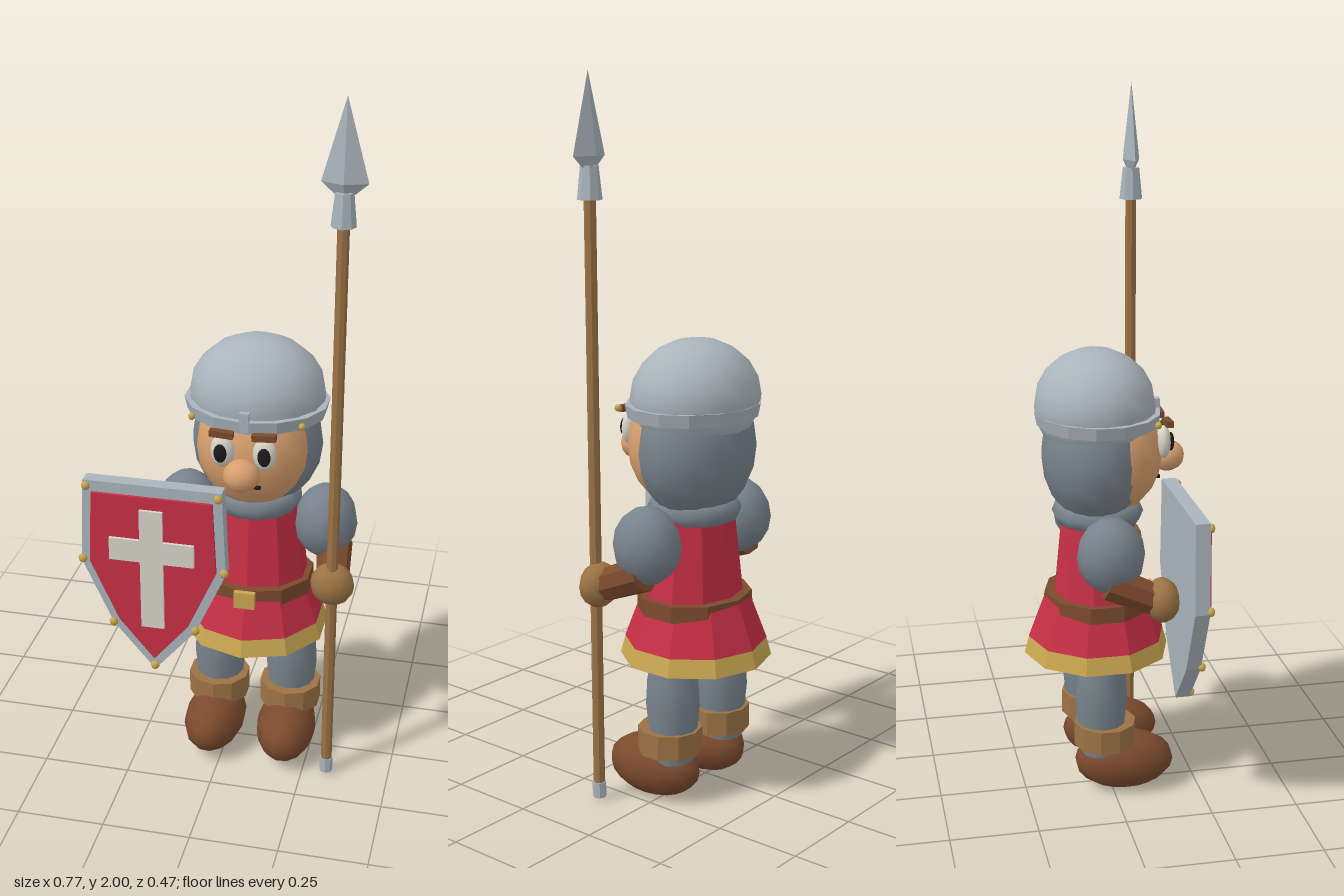
import * as THREE from 'three';

const CX = 0.075; // body centre line

function mat(name, color) {
  const m = new THREE.MeshStandardMaterial({ color });
  m.name = name;
  return m;
}

const flat = (g) => {
  const f = g.index ? g.toNonIndexed() : g;
  f.computeVertexNormals();
  return f;
};
const ball = (rx, ry, rz, w = 16, h = 10) => new THREE.SphereGeometry(1, w, h).scale(rx, ry, rz);
const tube = (top, bottom, height, sides) => flat(new THREE.CylinderGeometry(top, bottom, height, sides));
const lathe = (pts, sides) => new THREE.LatheGeometry(pts.map(([r, y]) => new THREE.Vector2(r, y)), sides);
const plate = (pts, depth) => new THREE.ExtrudeGeometry(
  new THREE.Shape(pts.map(([x, y]) => new THREE.Vector2(x, y))), { depth, bevelEnabled: false });

export function createModel() {
  const mail = mat('mail grey', 0x78838d);
  const steel = mat('steel', 0xaab4bc);
  const red = mat('red cloth', 0xc62f45);
  const gold = mat('gold', 0xc9a650);
  const skin = mat('skin', 0xd9a06e);
  const brown = mat('brown leather', 0x7b4a2d);
  const tan = mat('tan leather', 0x9c7345);
  const white = mat('off white', 0xd8d5c9);
  const black = mat('black', 0x1c1a1a);

  const model = new THREE.Group();
  model.name = 'spearGuard';
  const group = (name) => {
    const g = new THREE.Group();
    g.name = name;
    model.add(g);
    return g;
  };
  const add = (parent, name, geometry, material, x, y, z) => {
    const m = new THREE.Mesh(geometry, material);
    m.name = name;
    m.position.set(x, y, z);
    parent.add(m);
    return m;
  };

  // Tunic, skirt and belt
  const body = group('body');
  add(body, 'torso', tube(0.125, 0.155, 0.26, 10).scale(1, 1, 0.84), red, CX, 0.68, -0.02);
  add(body, 'skirt', tube(0.199, 0.15, 0.13, 10).rotateX(Math.PI), red, CX, 0.515, -0.025);
  add(body, 'skirtHem', tube(0.198, 0.212, 0.05, 10), gold, CX, 0.425, -0.025);
  add(body, 'belt', tube(0.168, 0.17, 0.046, 10).scale(1, 1, 0.92), brown, CX, 0.563, -0.022);
  add(body, 'buckle', new THREE.BoxGeometry(0.06, 0.05, 0.015), gold, CX, 0.563, 0.138);
  add(body, 'mailCollar', new THREE.TorusGeometry(0.095, 0.036, 8, 14).rotateX(Math.PI / 2), mail, CX, 0.825, -0.02);

  // Head
  const head = group('head');
  add(head, 'coif', ball(0.185, 0.2, 0.15), mail, CX, 0.995, -0.03);
  add(head, 'face', ball(0.16, 0.175, 0.138), skin, CX, 1.0, 0.025);
  add(head, 'nose', ball(0.051, 0.045, 0.05, 12, 8), skin, CX, 0.977, 0.182);
  add(head, 'mouth', new THREE.BoxGeometry(0.09, 0.009, 0.012), black, CX, 0.928, 0.146);
  for (const s of [-1, 1]) {
    add(head, 'eye', ball(0.033, 0.048, 0.022, 14, 10), white, CX + s * 0.058, 1.035, 0.157);
    add(head, 'pupil', ball(0.018, 0.027, 0.01, 12, 8), black, CX + s * 0.06, 1.035, 0.178);
    add(head, 'eyebrow', new THREE.BoxGeometry(0.065, 0.018, 0.02), brown, CX + s * 0.058, 1.09, 0.17)
      .rotation.z = s * 0.06;
  }

  // Helmet
  const helmet = group('helmet');
  add(helmet, 'dome', ball(0.19, 0.16, 0.172), steel, CX, 1.138, -0.027);
  add(helmet, 'brim', tube(0.202, 0.194, 0.036, 14).scale(1, 1, 0.885), steel, CX, 1.104, -0.02);
  add(helmet, 'nasalBar', new THREE.BoxGeometry(0.026, 0.055, 0.02), steel, CX, 1.12, 0.148);
  for (const s of [-1, 1])
    add(helmet, 'rivet', ball(0.01, 0.01, 0.01, 8, 6), gold, CX + s * 0.151, 1.11, 0.122);

  // Legs and arms, mirrored
  const legProfile = [[0.06, 0.12], [0.068, 0.2], [0.076, 0.28], [0.072, 0.35], [0.058, 0.43]];
  const up = new THREE.Vector3(0, 1, 0);
  for (const s of [-1, 1]) {
    const side = s > 0 ? 'left' : 'right';
    const leg = group(side + 'Leg');
    const lx = CX + s * 0.108;
    add(leg, 'mailLeg', lathe(legProfile, 12), mail, lx, 0, -0.03);
    add(leg, 'bootCuff', tube(0.09, 0.09, 0.07, 10), tan, lx, 0.18, -0.02);
    add(leg, 'boot', ball(0.087, 0.086, 0.145, 14, 10), brown, lx, 0.086, 0.037).rotation.y = s * 0.06;

    const arm = group(side + 'Arm');
    add(arm, 'mailSleeve', ball(0.09, 0.108, 0.096, 12, 8), mail, CX + s * 0.2, 0.76, -0.02);
    const a = new THREE.Vector3(CX + s * 0.225, 0.69, -0.03);
    const b = new THREE.Vector3(CX + s * 0.243, 0.635, 0.1);
    const forearm = add(arm, 'forearm', tube(0.045, 0.052, a.distanceTo(b), 8), brown, 0, 0, 0);
    forearm.position.lerpVectors(a, b, 0.5);
    forearm.quaternion.setFromUnitVectors(up, b.clone().sub(a).normalize());
    add(arm, 'glove', ball(0.062, 0.063, 0.05, 12, 8), tan, CX + s * 0.244, 0.635, 0.115);
  }

  // Shield: grey board, red field, cross and studs
  const shield = group('shield');
  const sx = -0.172;
  const mirror = (half) => [...half, ...half.slice(1).reverse().map(([x, y]) => [-x, y])];
  const outline = mirror([[0, 0.335], [0.119, 0.475], [0.207, 0.67], [0.196, 0.923]]);
  const field = mirror([[0, 0.375], [0.1, 0.495], [0.181, 0.675], [0.171, 0.89]]);
  const studs = mirror([[0, 0.35], [0.119, 0.48], [0.203, 0.677], [0.187, 0.907]]);
  add(shield, 'shieldBoard', plate(outline, 0.041), steel, sx, 0, 0.156);
  add(shield, 'shieldField', plate(field, 0.009), red, sx, 0, 0.197);
  add(shield, 'crossUpright', new THREE.BoxGeometry(0.066, 0.37, 0.009), white, sx, 0.67, 0.212);
  for (const s of [-1, 1])
    add(shield, 'crossArm', new THREE.BoxGeometry(0.088, 0.068, 0.009), white, sx + s * 0.077, 0.727, 0.212);
  for (const [x, y] of studs)
    add(shield, 'stud', ball(0.013, 0.013, 0.011, 8, 6), gold, sx + x, y, 0.2);

  // Spear
  const spear = group('spear');
  const [px, pz] = [0.32, 0.126];
  add(spear, 'shaft', tube(0.016, 0.016, 1.66, 8), tan, px, 0.86, pz);
  add(spear, 'buttCap', tube(0.019, 0.019, 0.045, 8), steel, px, 0.032, pz);
  add(spear, 'socket', tube(0.024, 0.033, 0.088, 8), steel, px, 1.717, pz);
  const blade = lathe([[0, 1.755], [0.026, 1.755], [0.06, 1.785], [0, 2.0]], 4).scale(1, 1, 0.4);
  add(spear, 'blade', flat(blade), steel, px, 0, pz);

  return model;
}
